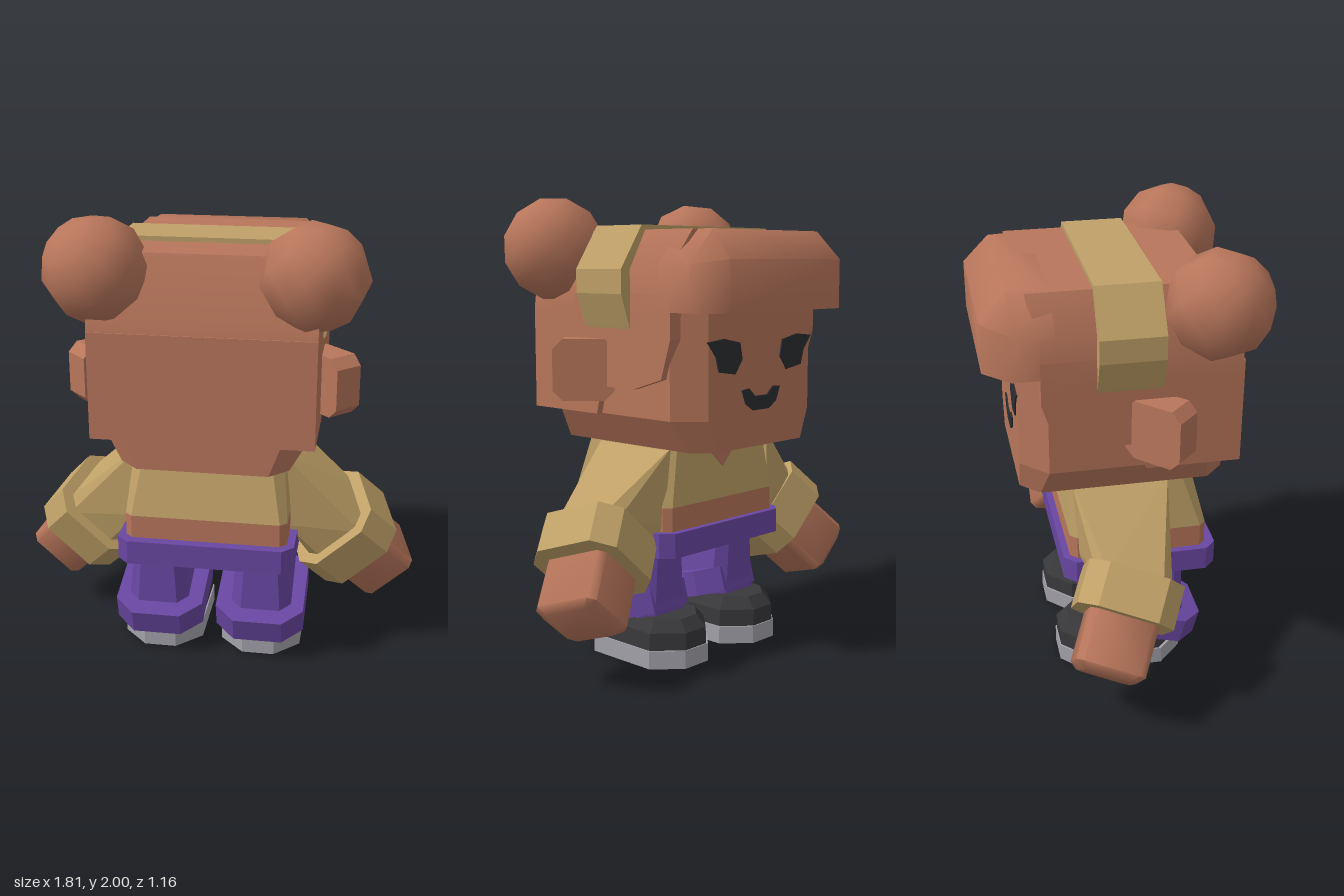
import * as THREE from 'three';
import { ConvexGeometry } from 'three/addons/geometries/ConvexGeometry.js';
import { toCreasedNormals } from 'three/addons/utils/BufferGeometryUtils.js';

const mat = (name, color) => {
  const m = new THREE.MeshStandardMaterial({ color });
  m.name = name;
  return m;
};
const V = (x, y, z) => new THREE.Vector3(x, y, z);

// Eight points of a horizontal rectangle with cut corners
function ring(y, cx, hx, z0, z1, c) {
  const a = cx - hx, b = cx + hx;
  return [[a + c, z0], [b - c, z0], [b, z0 + c], [b, z1 - c], [b - c, z1], [a + c, z1], [a, z1 - c], [a, z0 + c]]
    .map(([x, z]) => V(x, y, z));
}

export function createModel() {
  const model = new THREE.Group();
  model.name = 'character';
  const brown = mat('brown', 0xb8765b), gold = mat('gold', 0xbfa067), purple = mat('purple', 0x6947a2);
  const grey = mat('sole grey', 0xa3a2aa), dark = mat('shoe black', 0x38383b), ink = mat('face ink', 0x2c2d31);

  const add = (name, geo, material) => {
    const m = new THREE.Mesh(geo, material);
    m.name = name;
    model.add(m);
    return m;
  };
  // Convex solid around points; crease > 0 softens shallow edges
  const hull = (name, points, material, crease = 0) => {
    const g = new ConvexGeometry(points);
    return add(name, crease ? toCreasedNormals(g, crease) : g, material);
  };
  const mirrorX = (pts) => pts.flatMap((p) => [p, V(-p.x, p.y, p.z)]);
  const side = (pts, s) => pts.map((p) => V(p.x * s, p.y, p.z));

  // Head
  hull('head', [...ring(0.955, 0, 0.36, -0.44, 0.445, 0.08), ...ring(1.09, 0, 0.44, -0.44, 0.445, 0.11),
    ...ring(1.7, 0, 0.44, -0.44, 0.4, 0.11)], brown);

  // Hair: crown, back, fringe
  hull('hairCrown', mirrorX([V(0.47, 1.5, 0.47), V(0.47, 1.5, -0.36), V(0.47, 1.6, 0.46), V(0.47, 1.7, 0.36),
    V(0.47, 1.7, -0.36), V(0.38, 1.86, 0.36), V(0.38, 1.86, -0.4)]), brown, 0.9);
  hull('hairBack', mirrorX([V(0.47, 1.09, 0.47), V(0.47, 1.09, 0.07), V(0.47, 1.55, 0.47), V(0.47, 1.55, 0.07)]), brown);
  hull('hairFringe', [...mirrorX([V(0.47, 1.53, -0.3), V(0.47, 1.53, -0.47), V(0.36, 1.53, -0.58),
    V(0.47, 1.73, -0.3), V(0.47, 1.72, -0.46), V(0.36, 1.74, -0.58), V(0.36, 1.86, -0.3), V(0.34, 1.86, -0.47)])], brown, 0.9);

  // Headband
  hull('headband', mirrorX([[0.45, 1.4, 0.08], [0.475, 1.47, 0.135], [0.52, 1.6, 0.135], [0.52, 1.7, 0.135], [0.4, 1.88, 0.135]]
    .flatMap(([x, y, d]) => [V(x, y, d), V(x, y, -d)])), gold);

  // Torso, bare waist and belt
  hull('shirt', [...ring(0.7, 0, 0.355, -0.235, 0.375, 0.03), ...ring(0.955, 0, 0.33, -0.22, 0.31, 0.05)], gold);
  hull('waist', [...ring(0.58, 0, 0.355, -0.235, 0.375, 0.03), ...ring(0.7, 0, 0.355, -0.235, 0.375, 0.03)], brown);
  hull('belt', [...ring(0.49, 0, 0.388, -0.265, 0.42, 0.05), ...ring(0.597, 0, 0.388, -0.265, 0.42, 0.05)], purple);
  hull('neckline', [V(-0.12, 0.955, -0.225), V(0.12, 0.955, -0.225), V(0, 0.84, -0.232),
    V(-0.12, 0.955, -0.21), V(0.12, 0.955, -0.21), V(0, 0.84, -0.22)], brown);

  // Arm frame: the arm slopes out, down and toward the face
  const tip = V(0.79, 0.285, -0.165);
  const axis = V(0.62, -0.68, -0.39).normalize();
  const depth = V(0, 0, 1).addScaledVector(axis, -axis.z).normalize();
  const across = new THREE.Vector3().crossVectors(axis, depth);
  // Cut-cornered section of the arm at distance t back from the fingertips
  const armRing = (t, hx, hz, c) => ring(0, 0, hx, -hz, hz, c).map((p) =>
    tip.clone().addScaledVector(axis, -t).addScaledVector(across, p.x).addScaledVector(depth, p.z));

  for (const s of [1, -1]) {
    const n = s > 0 ? 'left' : 'right';
    // Side lock of hair hanging in front of the ear
    const lock = new THREE.Shape([[-0.2, 1.09], [-0.07, 1.09], [-0.04, 1.21], [0.15, 1.21], [0.31, 1.26], [0.36, 1.42],
      [0.36, 1.6], [-0.2, 1.6]].map(([a, b]) => new THREE.Vector2(a, b)));
    const lockGeo = new THREE.ExtrudeGeometry(lock, { depth: 0.09, bevelEnabled: false });
    lockGeo.rotateY(Math.PI / 2).translate(s > 0 ? 0.38 : -0.47, 0, 0);
    add(n + 'HairLock', lockGeo, brown);

    // Hair bun
    const bun = new THREE.SphereGeometry(0.224, 9, 6);
    bun.rotateX(0.5).rotateZ(-s * 0.65).translate(s * 0.443, 1.783, 0.36);
    add(n + 'Bun', bun, brown);

    // Ear
    const ear = ring(-0.065, 0, 0.13, -0.13, 0.13, 0.042).concat(ring(0.065, 0, 0.13, -0.13, 0.13, 0.042))
      .map((p) => V(0.494 + (p.x + p.y) * 0.707, 1.28 + p.z, 0.121 + (p.x - p.y) * 0.707));
    hull(n + 'Ear', side(ear, s), brown);

    // Sleeve, cuff and hand
    const shoulder = [V(0.32, 0.955, 0.2), V(0.32, 0.955, -0.22), V(0.34, 0.62, 0.2), V(0.34, 0.62, -0.2)];
    hull(n + 'Sleeve', side([...shoulder, ...armRing(0.4, 0.16, 0.17, 0.05)], s), gold);
    hull(n + 'Cuff', side([...armRing(0.44, 0.21, 0.21, 0.08), ...armRing(0.25, 0.21, 0.21, 0.08)], s), gold);
    hull(n + 'Hand', side([...armRing(0.3, 0.14, 0.15, 0.03), ...armRing(0.03, 0.14, 0.15, 0.03),
      ...armRing(0, 0.11, 0.12, 0.03)], s), brown, 0.9);

    // Trouser leg and slanted hem
    hull(n + 'Leg', [...ring(0.2, s * 0.235, 0.14, -0.13, 0.285, 0.05), ...ring(0.52, s * 0.235, 0.11, -0.13, 0.275, 0.04)], purple);
    const hem = [-0.057, 0.057].flatMap((y) => ring(y, 0, 0.198, -0.245, 0.245, 0.09))
      .map((p) => p.applyAxisAngle(V(1, 0, 0), 0.26).add(V(s * 0.23, 0.217, 0.113)));
    hull(n + 'Hem', hem, purple);

    // Shoe
    hull(n + 'Sole', [0, 0.08].flatMap((y) => ring(y, s * 0.227, 0.182, -0.285, 0.28, 0.11)), grey);
    hull(n + 'Shoe', [...ring(0.08, s * 0.227, 0.176, -0.28, 0.27, 0.11), ...ring(0.155, s * 0.227, 0.172, -0.28, 0.22, 0.11),
      ...ring(0.205, s * 0.227, 0.13, -0.235, 0.05, 0.08)], dark);

    // Eye
    const eye = new THREE.Shape([[0.34, 1.41], [0.24, 1.42], [0.14, 1.4], [0.125, 1.33], [0.17, 1.27], [0.27, 1.285], [0.29, 1.35]]
      .map(([x, y]) => new THREE.Vector2(x * s, y)));
    const eyeGeo = new THREE.ExtrudeGeometry(eye, { depth: 0.008, bevelEnabled: false });
    add(n + 'Eye', eyeGeo.translate(0, 0, -0.446), ink);
  }

  // Smiling mouth
  const smile = new THREE.Shape([[-0.125, 1.2], [-0.1, 1.14], [-0.05, 1.11], [0.05, 1.11], [0.1, 1.14], [0.125, 1.2],
    [0.08, 1.205], [0.04, 1.17], [-0.04, 1.17], [-0.08, 1.205]].map(([x, y]) => new THREE.Vector2(x, y)));
  const smileGeo = new THREE.ExtrudeGeometry(smile, { depth: 0.008, bevelEnabled: false });
  add('mouth', smileGeo.translate(0, 0, -0.446), ink);

  return model;
}
